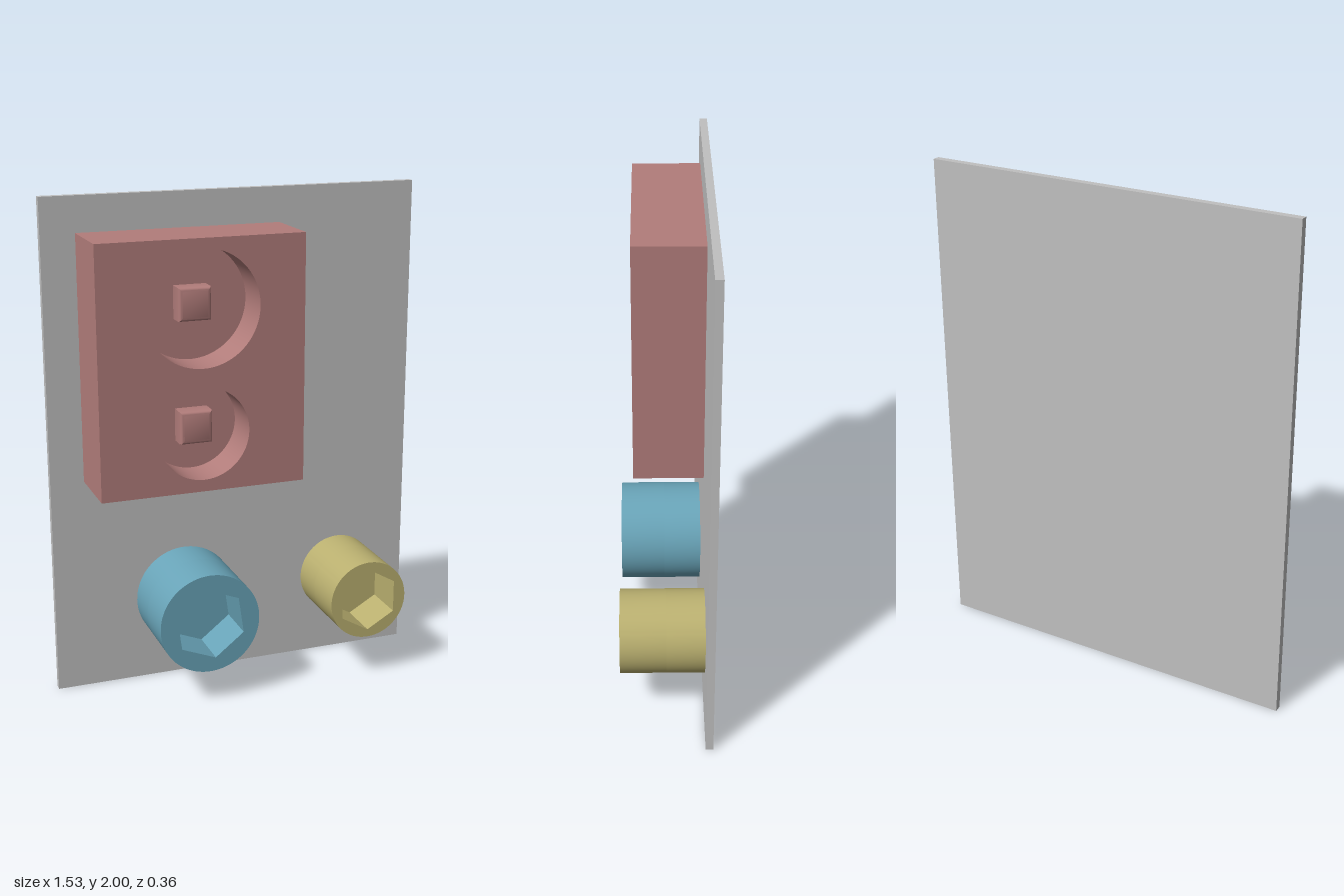
import * as THREE from 'three';
import { toCreasedNormals } from 'three/addons/utils/BufferGeometryUtils.js';

const material = (name, color) => {
  const m = new THREE.MeshStandardMaterial({ color });
  m.name = name;
  return m;
};

const rect = (w, h) => new THREE.Shape([
  new THREE.Vector2(-w / 2, -h / 2), new THREE.Vector2(w / 2, -h / 2),
  new THREE.Vector2(w / 2, h / 2), new THREE.Vector2(-w / 2, h / 2),
]);

const disc = (r, x = 0, y = 0) => new THREE.Path().absarc(x, y, r, 0, Math.PI * 2);

// Regular hexagon with its first corner at the given angle in degrees
const hexagon = (r, degrees) => new THREE.Path(Array.from({ length: 6 }, (_, i) => {
  const a = THREE.MathUtils.degToRad(degrees + i * 60);
  return new THREE.Vector2(r * Math.cos(a), r * Math.sin(a));
}));

const extrude = (shape, depth) => toCreasedNormals(
  new THREE.ExtrudeGeometry(shape, { depth, bevelEnabled: false, curveSegments: 48 }), 0.4);

const PLATE_BACK = -0.18, PLATE_FRONT = -0.15;

export function createModel() {
  const grey = material('plate grey', 0xc0c0c0);
  const red = material('socket red', 0xb27d7b);
  const blue = material('socket blue', 0x69a4b8);
  const yellow = material('socket yellow', 0xbab070);

  const model = new THREE.Group();
  model.name = 'socketPanel';
  const add = (parent, name, geometry, mat, x, y, z) => {
    const mesh = new THREE.Mesh(geometry, mat);
    mesh.name = name;
    mesh.position.set(x, y, z);
    parent.add(mesh);
  };

  // Backing plate
  add(model, 'backPlate', new THREE.BoxGeometry(1.53, 2, PLATE_FRONT - PLATE_BACK), grey,
    0, 1, (PLATE_BACK + PLATE_FRONT) / 2);

  // Block with two round recesses, each holding a square peg
  const block = new THREE.Group();
  block.name = 'doubleSocketBlock';
  block.position.set(-0.22, 1.37, 0);
  model.add(block);
  const floor = -0.04, blockFront = 0.125;
  add(block, 'blockBase', new THREE.BoxGeometry(0.82, 0.98, floor - PLATE_FRONT), red,
    0, 0, (floor + PLATE_FRONT) / 2);
  const recesses = [{ name: 'upper', y: 0.225, r: 0.228 }, { name: 'lower', y: -0.26, r: 0.183 }];
  const face = rect(0.82, 0.98);
  face.holes = recesses.map(({ r, y }) => disc(r, 0, y));
  add(block, 'blockFace', extrude(face, blockFront - floor), red, 0, 0, floor);

  // Pegs with rounded front edges; the back bevel sits inside the base
  const bevel = 0.015;
  const peg = toCreasedNormals(new THREE.ExtrudeGeometry(rect(0.1, 0.1), {
    depth: 0.08, bevelThickness: bevel, bevelSize: bevel, bevelSegments: 4,
  }), 0.6);
  for (const { name, y } of recesses) add(block, name + 'Peg', peg, red, 0, y, 0.035 - 0.08 - bevel);

  // Round posts with hexagonal recesses
  const post = (name, mat, x, r, hexRadius, hexAngle) => {
    const group = new THREE.Group();
    group.name = name;
    group.position.set(x, 0.345, 0);
    model.add(group);
    const front = 0.18, bottom = 0;
    const base = new THREE.Shape(disc(r).getPoints(48));
    add(group, name + 'Base', extrude(base, bottom - PLATE_FRONT), mat, 0, 0, PLATE_FRONT);
    const ring = base.clone();
    ring.holes = [hexagon(hexRadius, hexAngle)];
    add(group, name + 'Rim', extrude(ring, front - bottom), mat, 0, 0, bottom);
  };
  post('largeHexSocket', blue, -0.22, 0.205, 0.15, 98);
  post('smallHexSocket', yellow, 0.463, 0.164, 0.132, 90);

  return model;
}
